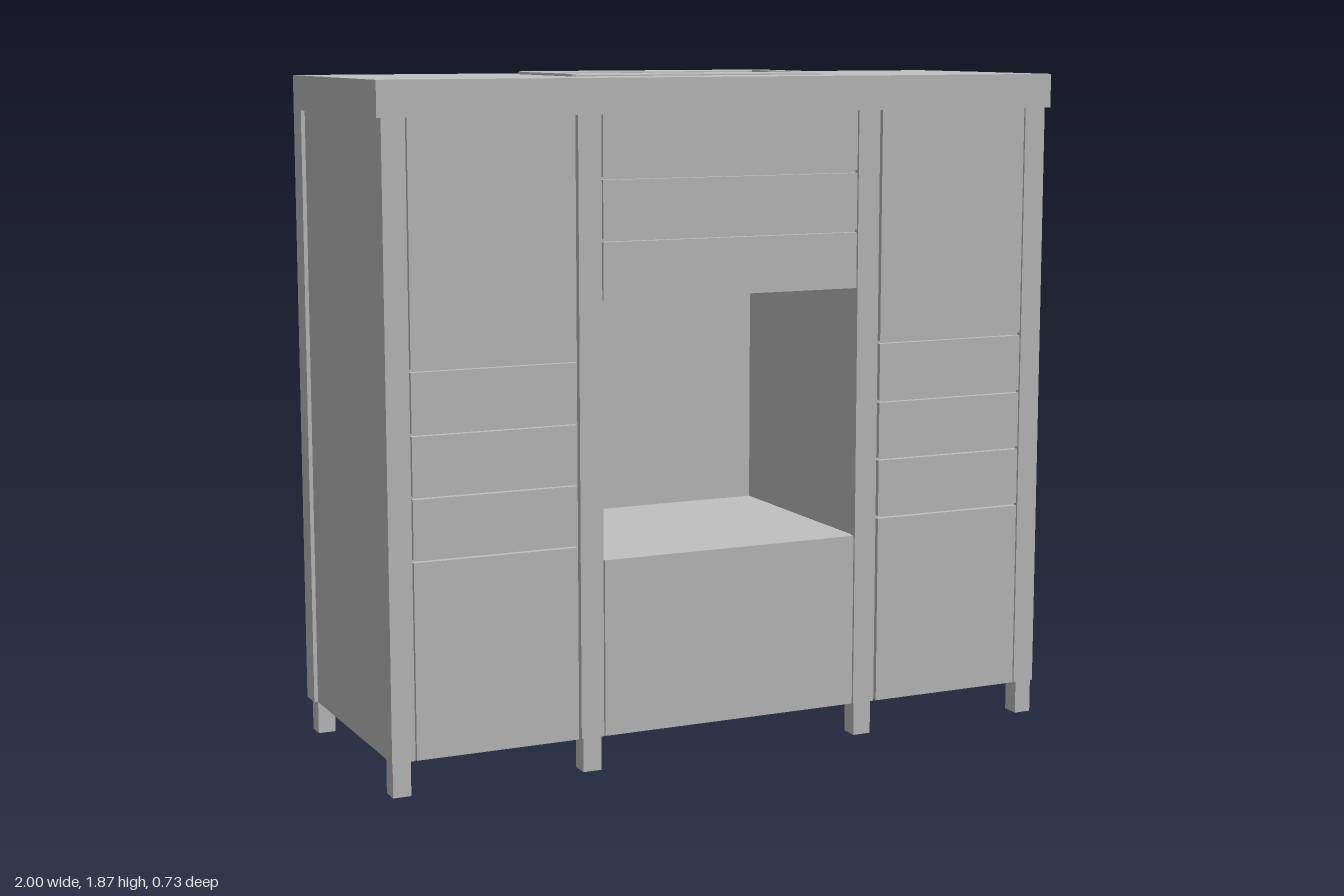
import * as THREE from 'three';

export function createModel() {
  const model = new THREE.Group();
  model.name = 'kitchenCabinet';
  const grey = new THREE.MeshStandardMaterial({ color: 0xc0c0c0 });
  grey.name = 'lightGrey';

  const BOTTOM = 0.095, TOP = 1.765, FRONT = 0.363, BACK = -0.363;
  const CARCASS_FRONT = 0.345, CARCASS_BACK = -0.295;
  const GAP = 0.008;

  const body = new THREE.Group();
  body.name = 'cabinetBody';
  body.position.x = -0.004;
  model.add(body);

  function addBox(parent, name, x0, x1, y0, y1, z0, z1) {
    const mesh = new THREE.Mesh(new THREE.BoxGeometry(x1 - x0, y1 - y0, z1 - z0), grey);
    mesh.position.set((x0 + x1) / 2, (y0 + y1) / 2, (z0 + z1) / 2);
    mesh.name = name;
    parent.add(mesh);
    return mesh;
  }
  // same box on the left and the right
  function addPair(name, x0, x1, y0, y1, z0, z1) {
    addBox(body, name + 'Left', x0, x1, y0, y1, z0, z1);
    addBox(body, name + 'Right', -x1, -x0, y0, y1, z0, z1);
  }

  // Side towers and the stiles that frame their fronts
  addPair('tower', 0.384, 0.985, BOTTOM, TOP, CARCASS_BACK, CARCASS_FRONT);
  addPair('outerStile', 0.921, 0.985, BOTTOM, TOP, CARCASS_FRONT, FRONT);
  addPair('innerStile', 0.384, 0.45, BOTTOM, TOP, CARCASS_FRONT, FRONT);

  // Tower fronts: lower door, three drawers, upper door
  const towerEdges = [BOTTOM, 0.63, 0.796, 0.96, 1.126, TOP];
  const towerNames = ['lowerDoor', 'lowDrawer', 'middleDrawer', 'highDrawer', 'upperDoor'];
  towerNames.forEach((name, i) => {
    const top = i === 4 ? TOP : towerEdges[i + 1] - GAP;
    addPair(name, 0.45 + GAP, 0.921 - GAP / 2, towerEdges[i], top, CARCASS_FRONT, FRONT);
  });

  // Centre column: closed base, open niche, three drawer fronts
  addBox(body, 'nicheBase', -0.384, 0.384, BOTTOM, 0.58, CARCASS_BACK, CARCASS_FRONT);
  addBox(body, 'basePanel', -0.38, 0.38, BOTTOM, 0.58, CARCASS_FRONT, FRONT);
  addBox(body, 'nicheCeiling', -0.384, 0.384, 1.278, 1.298, CARCASS_BACK, CARCASS_FRONT);
  addBox(body, 'drawerBacking', -0.384, 0.384, 1.298, TOP, 0.325, CARCASS_FRONT);
  const centreEdges = [1.278, 1.44, 1.603, TOP + GAP];
  for (let i = 0; i < 3; i++) {
    addBox(body, 'centreDrawer' + (i + 1), -0.38, 0.38,
      centreEdges[i], centreEdges[i + 1] - GAP, CARCASS_FRONT, FRONT);
  }

  // Full-width back panel
  addBox(model, 'backPanel', -1, 1, BOTTOM, TOP, BACK, CARCASS_BACK);

  // Legs
  for (const [z0, z1] of [[0.305, 0.357], [-0.357, -0.305]]) {
    addPair('outerLeg', 0.932, 0.982, 0, BOTTOM, z0, z1);
    addPair('innerLeg', 0.39, 0.443, 0, BOTTOM, z0, z1);
  }

  // Rounded rectangle in plan; shape y is -z
  function outline(path, x0, x1, z0, z1, r) {
    const a = -z1, b = -z0;
    path.moveTo(x0 + r, a);
    path.lineTo(x1 - r, a);
    if (r) path.quadraticCurveTo(x1, a, x1, a + r);
    path.lineTo(x1, b - r);
    if (r) path.quadraticCurveTo(x1, b, x1 - r, b);
    path.lineTo(x0 + r, b);
    if (r) path.quadraticCurveTo(x0, b, x0, b - r);
    path.lineTo(x0, a + r);
    if (r) path.quadraticCurveTo(x0, a, x0 + r, a);
    return path;
  }
  // Horizontal slab with the sink opening cut through it
  function addRing(name, x0, x1, z0, z1, r, hole, y, height, bevel = 0) {
    const shape = outline(new THREE.Shape(), x0, x1, z0, z1, r);
    shape.holes.push(outline(new THREE.Path(), ...hole, 0));
    const geometry = new THREE.ExtrudeGeometry(shape, {
      depth: height - bevel, curveSegments: 4, bevelEnabled: bevel > 0,
      bevelThickness: bevel, bevelSize: bevel, bevelOffset: -bevel, bevelSegments: 2,
    });
    geometry.rotateX(-Math.PI / 2);
    const mesh = new THREE.Mesh(geometry, grey);
    mesh.position.y = y;
    mesh.name = name;
    model.add(mesh);
  }

  // Countertop, sink rim and basin
  const opening = [-0.357, 0.351, -0.232, 0.133];
  const basinHole = [-0.346, 0.341, -0.222, 0.125];
  addRing('countertop', -1, 1, BACK, FRONT, 0, opening, TOP, 0.095);
  addRing('sinkRim', -0.388, 0.382, -0.247, 0.155, 0.03, opening, 1.857, 0.011, 0.005);
  addRing('basinWalls', -0.38, 0.374, -0.24, 0.15, 0, basinHole, 1.65, 0.195);
  addBox(model, 'basinFloor', -0.38, 0.374, 1.64, 1.652, -0.24, 0.15);

  return model;
}
